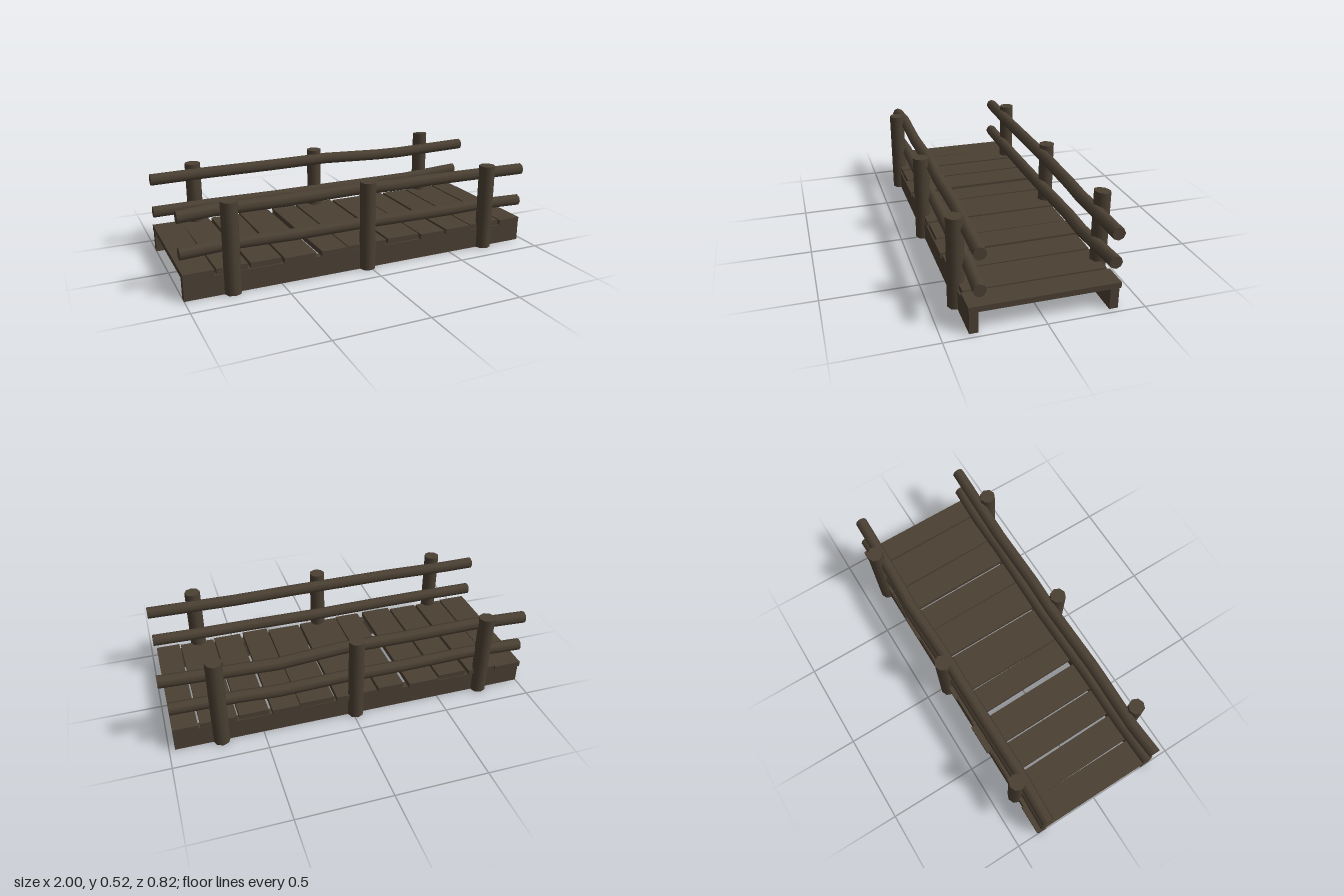
import * as THREE from 'three';

export function createModel() {
  const bridge = new THREE.Group();
  bridge.name = 'footbridge';
  const wood = new THREE.MeshStandardMaterial({ color: 0x4b4033 });
  wood.name = 'dark wood';

  const add = (name, geometry, x = 0, y = 0, z = 0) => {
    const mesh = new THREE.Mesh(geometry, wood);
    mesh.name = name;
    mesh.position.set(x, y, z);
    bridge.add(mesh);
  };

  // Side beams carrying the deck
  for (const side of [1, -1]) {
    add(side > 0 ? 'frontBeam' : 'backBeam', new THREE.BoxGeometry(1.97, 0.11, 0.045), -0.015, 0.055, side * 0.347);
  }

  // Deck planks: left edge, right edge, back end, front end, skew towards the front
  const planks = [
    [-1, -0.843, -0.385, 0.37, 0],
    [-0.838, -0.678, -0.375, 0.362, 0.012],
    [-0.662, -0.5, -0.365, 0.362, 0.008],
    [-0.488, -0.316, -0.388, 0.38, 0.008],
    [-0.284, -0.139, -0.37, 0.377, 0.012],
    [-0.13, 0.096, -0.38, 0.367, 0.004],
    [0.111, 0.298, -0.367, 0.362, 0.004],
    [0.304, 0.452, -0.38, 0.38, 0.008],
    [0.47, 0.627, -0.365, 0.372, 0.008],
    [0.636, 0.828, -0.37, 0.362, 0.004],
    [0.838, 0.97, -0.38, 0.372, 0],
  ];
  planks.forEach(([x0, x1, z0, z1, skew], i) => {
    const geometry = new THREE.BoxGeometry(x1 - x0, 0.03, z1 - z0);
    const p = geometry.attributes.position;
    for (let k = 0; k < p.count; k++) p.setX(k, p.getX(k) + Math.sign(p.getZ(k)) * skew / 2);
    add(`plank${i + 1}`, geometry, (x0 + x1) / 2, 0.125, (z0 + z1) / 2);
  });

  // Upright posts; the last one at the back is taller with a slanted top
  for (const side of [1, -1]) {
    [-0.755, -0.015, 0.725].forEach((x, i) => {
      const tall = side < 0 && i === 2;
      const height = tall ? 0.51 : 0.48;
      const geometry = new THREE.CylinderGeometry(0.044, 0.044, height, 8);
      geometry.translate(0, height / 2, 0);
      if (tall) {
        const p = geometry.attributes.position;
        for (let k = 0; k < p.count; k++) {
          if (p.getY(k) > 0.1) p.setY(k, height + p.getZ(k) * 0.12);
        }
      }
      add(`${side > 0 ? 'front' : 'back'}Post${i + 1}`, geometry, x, 0, side * 0.368);
    });
  }

  // Crooked rails: a log whose rings follow a list of [x, y, z] centres
  const rail = (name, path) => {
    const n = path.length - 1;
    const geometry = new THREE.CylinderGeometry(0.033, 0.033, n, 8, n);
    geometry.rotateZ(-Math.PI / 2);
    const p = geometry.attributes.position;
    for (let k = 0; k < p.count; k++) {
      const [x, y, z] = path[Math.round(p.getX(k) + n / 2)];
      p.setXYZ(k, x, p.getY(k) + y, p.getZ(k) + z);
    }
    add(name, geometry);
  };
  rail('frontUpperRail', [
    [-1, 0.416, 0.32], [-0.82, 0.422, 0.307], [-0.45, 0.423, 0.316],
    [-0.05, 0.427, 0.306], [0.15, 0.422, 0.313], [0.5, 0.42, 0.308], [0.99, 0.418, 0.322],
  ]);
  rail('frontLowerRail', [
    [-1, 0.23, 0.32], [-0.75, 0.238, 0.31], [-0.4, 0.234, 0.315],
    [0, 0.233, 0.307], [0.5, 0.231, 0.315], [0.75, 0.234, 0.31], [0.985, 0.23, 0.322],
  ]);
  rail('backUpperRail', [
    [-1, 0.418, -0.338], [-0.7, 0.425, -0.328], [-0.3, 0.424, -0.332],
    [0.05, 0.427, -0.332], [0.4, 0.408, -0.342], [0.55, 0.408, -0.334], [1, 0.42, -0.327],
  ]);
  rail('backLowerRail', [
    [-1, 0.232, -0.335], [-0.7, 0.238, -0.326], [-0.3, 0.233, -0.33],
    [0.05, 0.235, -0.33], [0.4, 0.232, -0.34], [0.6, 0.236, -0.33], [0.97, 0.252, -0.342],
  ]);

  return bridge;
}
